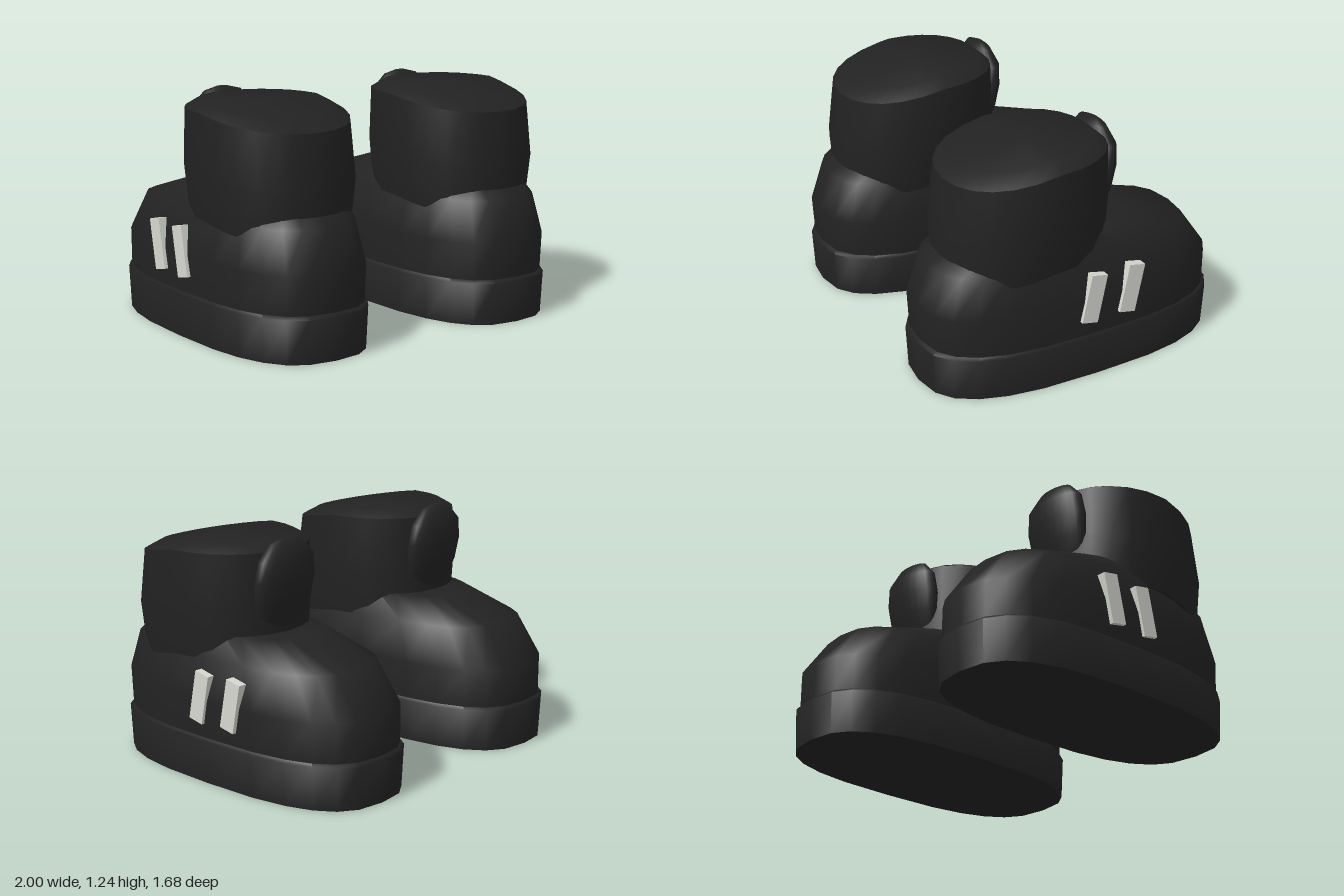
import * as THREE from 'three';
import { toCreasedNormals } from 'three/addons/utils/BufferGeometryUtils.js';

const SIDES = 24;

// Closed loft through horizontal superellipse rings [y, centreZ, halfX, halfZ]
function loft(rings, power, slant = () => 0) {
  const pos = [], idx = [];
  const add = (x, y, z) => pos.push(x, y - slant(z), z);
  for (const [y, cz, hx, hz] of rings) {
    for (let j = 0; j < SIDES; j++) {
      const t = (j / SIDES) * Math.PI * 2;
      const s = Math.sin(t), c = Math.cos(t);
      add(hx * Math.sign(s) * Math.abs(s) ** (2 / power), y,
        cz + hz * Math.sign(c) * Math.abs(c) ** (2 / power));
    }
  }
  const last = rings.length - 1;
  add(0, rings[0][0], rings[0][1]);
  add(0, rings[last][0], rings[last][1]);
  const bottom = rings.length * SIDES, top = bottom + 1;
  for (let j = 0; j < SIDES; j++) {
    const k = (j + 1) % SIDES;
    for (let i = 0; i < last; i++) {
      const a = i * SIDES + j, b = i * SIDES + k;
      idx.push(a, b, b + SIDES, a, b + SIDES, a + SIDES);
    }
    idx.push(bottom, k, j, top, last * SIDES + j, last * SIDES + k);
  }
  const g = new THREE.BufferGeometry();
  g.setAttribute('position', new THREE.Float32BufferAttribute(pos, 3));
  g.setIndex(idx);
  return toCreasedNormals(g, 0.9);
}

export function createModel() {
  const black = new THREE.MeshStandardMaterial({ color: 0x222222 });
  black.name = 'blackLeather';
  const pale = new THREE.MeshStandardMaterial({ color: 0xd6d8d0 });
  pale.name = 'paleStripe';

  // Thick sole
  const sole = loft([
    [0, 0, 0.395, 0.83], [0.225, 0, 0.405, 0.84], [0.24, 0, 0.395, 0.825],
  ], 2.8);
  // Foot, sloping down to the toe at -z
  const upper = loft([
    [0.235, 0, 0.39, 0.82], [0.44, 0.005, 0.393, 0.825],
    [0.65, 0.045, 0.355, 0.715], [0.76, 0.155, 0.29, 0.465],
  ], 2.8);
  // Ankle shaft, its closed top falling away towards the heel
  const shaft = loft([
    [0.635, 0.25, 0.37, 0.445], [0.9, 0.255, 0.405, 0.455],
    [1.18, 0.24, 0.393, 0.43], [1.22, 0.22, 0.315, 0.35],
  ], 2.2, (z) => (z > 0.23 ? (z - 0.23) * 0.18 : 0));
  // Rounded tongue in front of the shaft
  const tongue = loft([
    [0.7, -0.11, 0.12, 0.05], [0.8, -0.125, 0.16, 0.075], [0.91, -0.155, 0.19, 0.08],
    [1.03, -0.175, 0.2, 0.082], [1.14, -0.185, 0.185, 0.072],
    [1.22, -0.18, 0.11, 0.042], [1.24, -0.185, 0.03, 0.012],
  ], 2);
  const stripe = new THREE.BoxGeometry(0.1, 0.264, 0.092);

  const model = new THREE.Group();
  model.name = 'boots';
  for (const side of [1, -1]) {
    const boot = new THREE.Group();
    boot.name = side > 0 ? 'leftBoot' : 'rightBoot';
    boot.position.x = side * 0.592;
    const add = (name, geometry, material) => {
      const mesh = new THREE.Mesh(geometry, material);
      mesh.name = name;
      boot.add(mesh);
      return mesh;
    };
    add('sole', sole, black);
    add('upper', upper, black);
    add('shaft', shaft, black);
    add('tongue', tongue, black);
    // Two slanted bars on the outer side
    for (const z of [0.04, -0.182]) {
      const bar = add('sideStripe', stripe, pale);
      bar.position.set(side * 0.358, 0.45, z);
      bar.rotation.x = -0.2;
    }
    model.add(boot);
  }
  return model;
}
